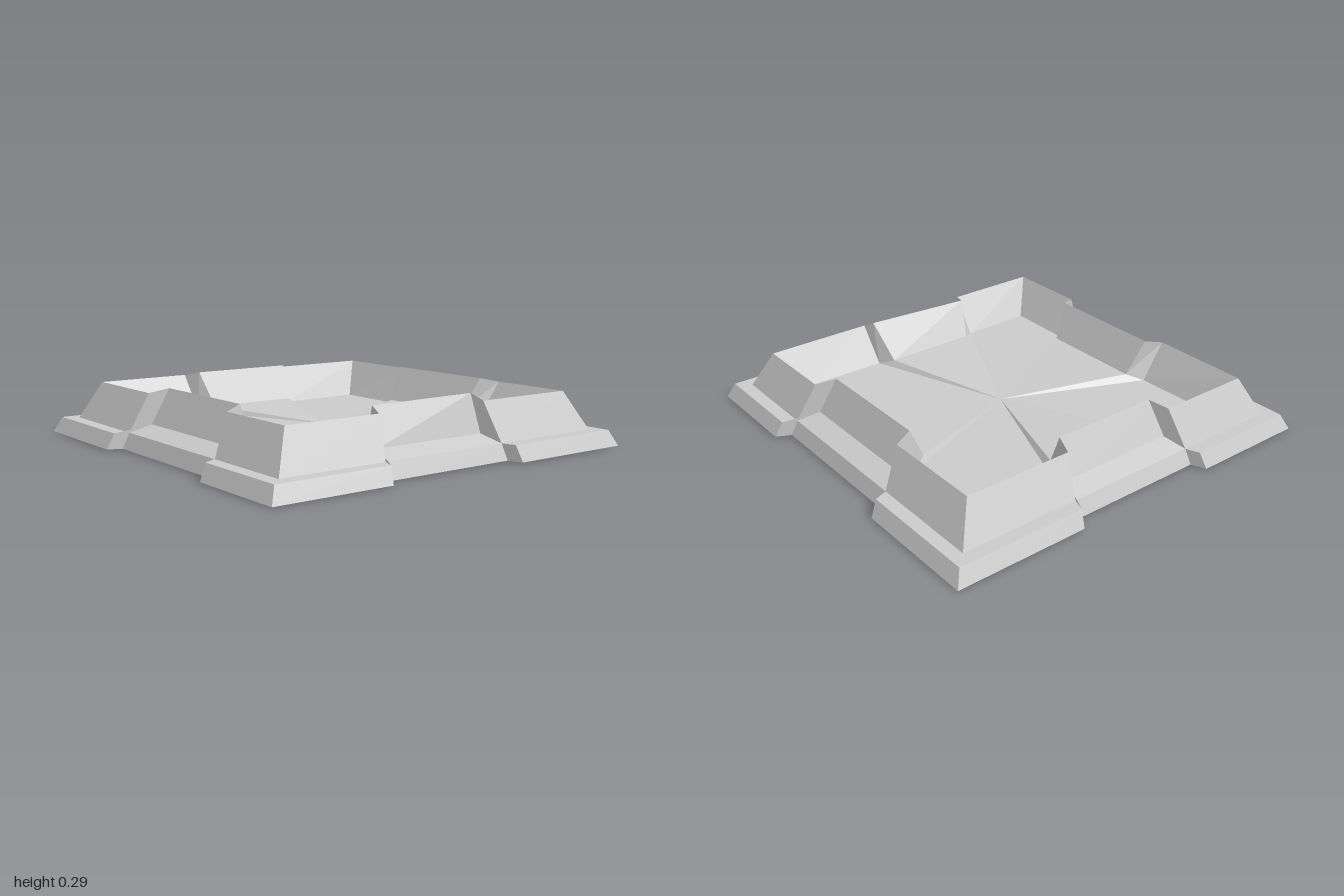
import * as THREE from 'three';

// Cross-sections from outer foot to inner floor: [distance from centre, height]
const CORNER = [[1, 0.005], [0.965, 0.08], [0.9, 0.08], [0.81, 0.265], [0.71, 0.08]];
const MIDDLE = [[0.93, 0.005], [0.9, 0.08], [0.8, 0.115], [0.72, 0.285], [0.63, 0.112]];
const CENTRE = new THREE.Vector3(0, 0.078, 0);

// Each side, counter-clockwise from the front: radial slopes of the two cuts,
// and the slopes where the corner floors end
const SIDES = [
  { cuts: [-0.41, 0.34], floor: [-0.485, 0.37], skew: 0.03 },
  { cuts: [-0.48, 0.38], floor: [-0.52, 0.41], skew: 0 },
  { cuts: [-0.34, 0.41], floor: [-0.378, 0.446], skew: 0 },
  { cuts: [-0.38, 0.48], floor: [-0.43, 0.52], skew: 0 },
];

// Place a profile on a side, along a radial line of the given slope
function station(side, profile, slope, floorSlope = slope) {
  return profile.map(([d, y], j) => {
    const t = d * (j === 4 ? floorSlope : slope);
    return new THREE.Vector3(t, y, d).applyAxisAngle(new THREE.Vector3(0, 1, 0), side * Math.PI / 2);
  });
}

function buildStations() {
  const list = [];
  SIDES.forEach(({ cuts, floor, skew }, s) => {
    const skewed = MIDDLE.map(([d, y], j) => (j === 3 ? [d + skew, y + skew / 3] : [d, y]));
    list.push(
      station(s, CORNER, -1),
      station(s, CORNER.map(([d, y], j) => [j === 4 ? 0.7 : d, y]), cuts[0], floor[0]),
      station(s, MIDDLE, cuts[0]),
      station(s, skewed, cuts[1]),
      station(s, CORNER.map(([d, y], j) => [j === 4 ? 0.705 : d, y]), cuts[1], floor[1]),
    );
  });
  return list;
}

function meshFrom(name, points, material) {
  const geometry = new THREE.BufferGeometry().setFromPoints(points);
  geometry.computeVertexNormals();
  const mesh = new THREE.Mesh(geometry, material);
  mesh.name = name;
  return mesh;
}

export function createModel() {
  const group = new THREE.Group();
  group.name = 'squareBasin';
  const material = new THREE.MeshStandardMaterial({ color: 0xcccccc, flatShading: true });

  const stations = buildStations();
  const rim = [], floor = [], underside = [];
  const under = new THREE.Vector3(0, 0, 0);
  stations.forEach((a, i) => {
    const b = stations[(i + 1) % stations.length];
    // Stepped rim: strips between neighbouring cross-sections
    for (let j = 0; j < 4; j++) rim.push(a[j], b[j], b[j + 1], a[j], b[j + 1], a[j + 1]);
    // Floor panels meeting at the centre, and the closed base
    floor.push(a[4], b[4], CENTRE);
    underside.push(b[0], a[0], under);
  });

  group.add(
    meshFrom('rim', rim, material),
    meshFrom('floor', floor, material),
    meshFrom('underside', underside, material),
  );
  return group;
}
